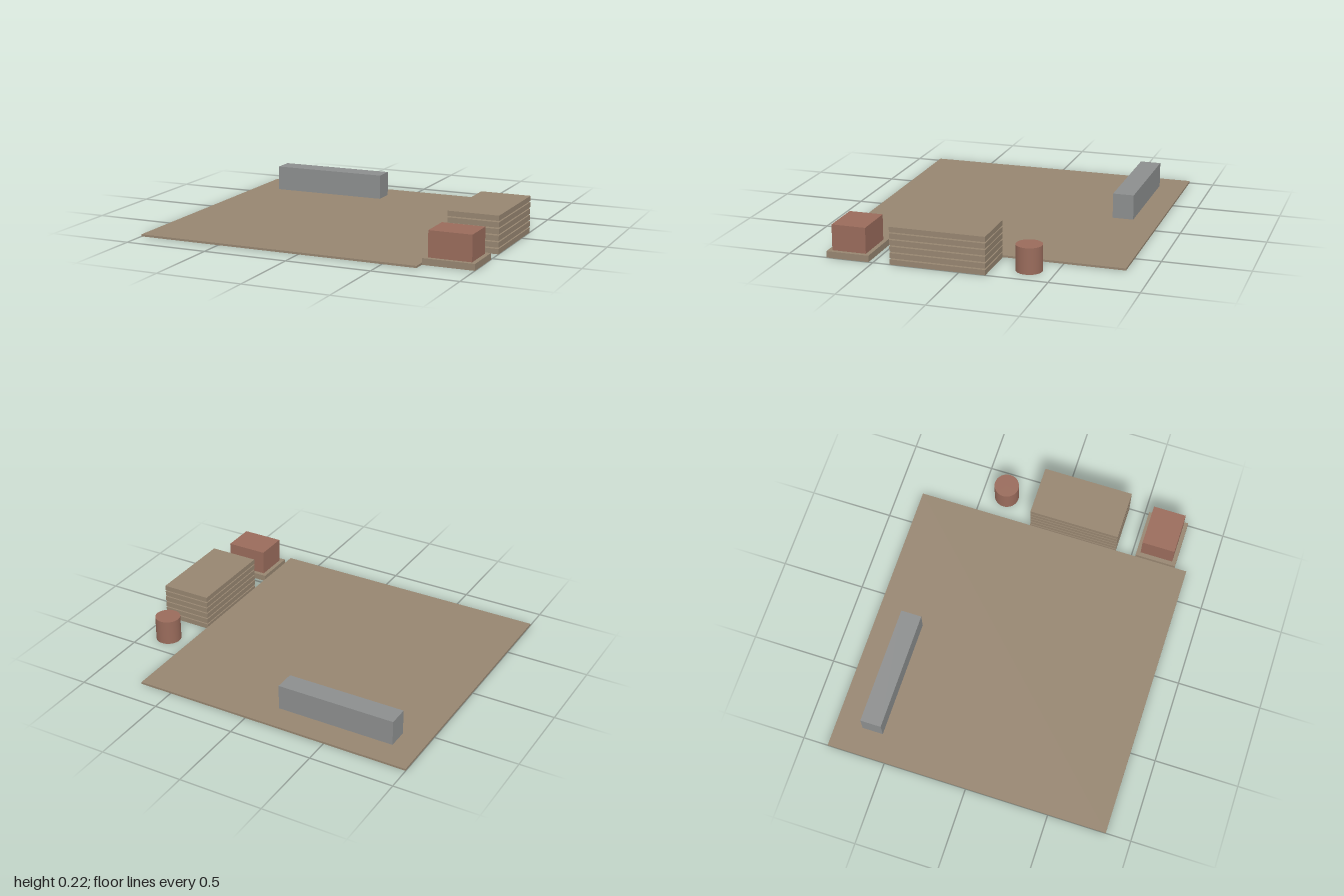
import * as THREE from 'three';

const material = (name, color) => {
  const m = new THREE.MeshStandardMaterial({ color });
  m.name = name;
  return m;
};

export function createModel() {
  const tan = material('tan', 0x968570);
  const grey = material('grey', 0x8c8e8e);
  const clay = material('clay', 0x996b5b);
  const group = new THREE.Group();

  // Box given by its lowest and highest corners
  const addBox = (name, mat, [x0, y0, z0], [x1, y1, z1]) => {
    const mesh = new THREE.Mesh(new THREE.BoxGeometry(x1 - x0, y1 - y0, z1 - z0), mat);
    mesh.position.set((x0 + x1) / 2, (y0 + y1) / 2, (z0 + z1) / 2);
    mesh.name = name;
    group.add(mesh);
  };

  // Ground slab, with the wall passing through to its underside
  addBox('groundSlab', tan, [-1, 0.0005, -0.85], [0.7, 0.0125, 0.85]);
  addBox('wallBlock', grey, [-0.84, 0, -0.69], [-0.125, 0.1625, -0.565]);

  // Stack of six boards separated by narrow gaps
  for (let i = 0; i < 6; i++) {
    const y = i * 0.0375;
    addBox(`stackBoard${i + 1}`, tan, [0.7, y, -0.15], [1, y + 0.03, 0.4]);
  }

  // Crate on its pallet
  addBox('pallet', tan, [0.7, 0, 0.525], [1, 0.0375, 0.775]);
  addBox('crate', clay, [0.725, 0.0375, 0.55], [0.975, 0.1875, 0.75]);

  // Barrel
  const barrel = new THREE.Mesh(new THREE.CylinderGeometry(0.075, 0.075, 0.15, 32), clay);
  barrel.position.set(0.85, 0.075, -0.35);
  barrel.name = 'barrel';
  group.add(barrel);

  return group;
}
